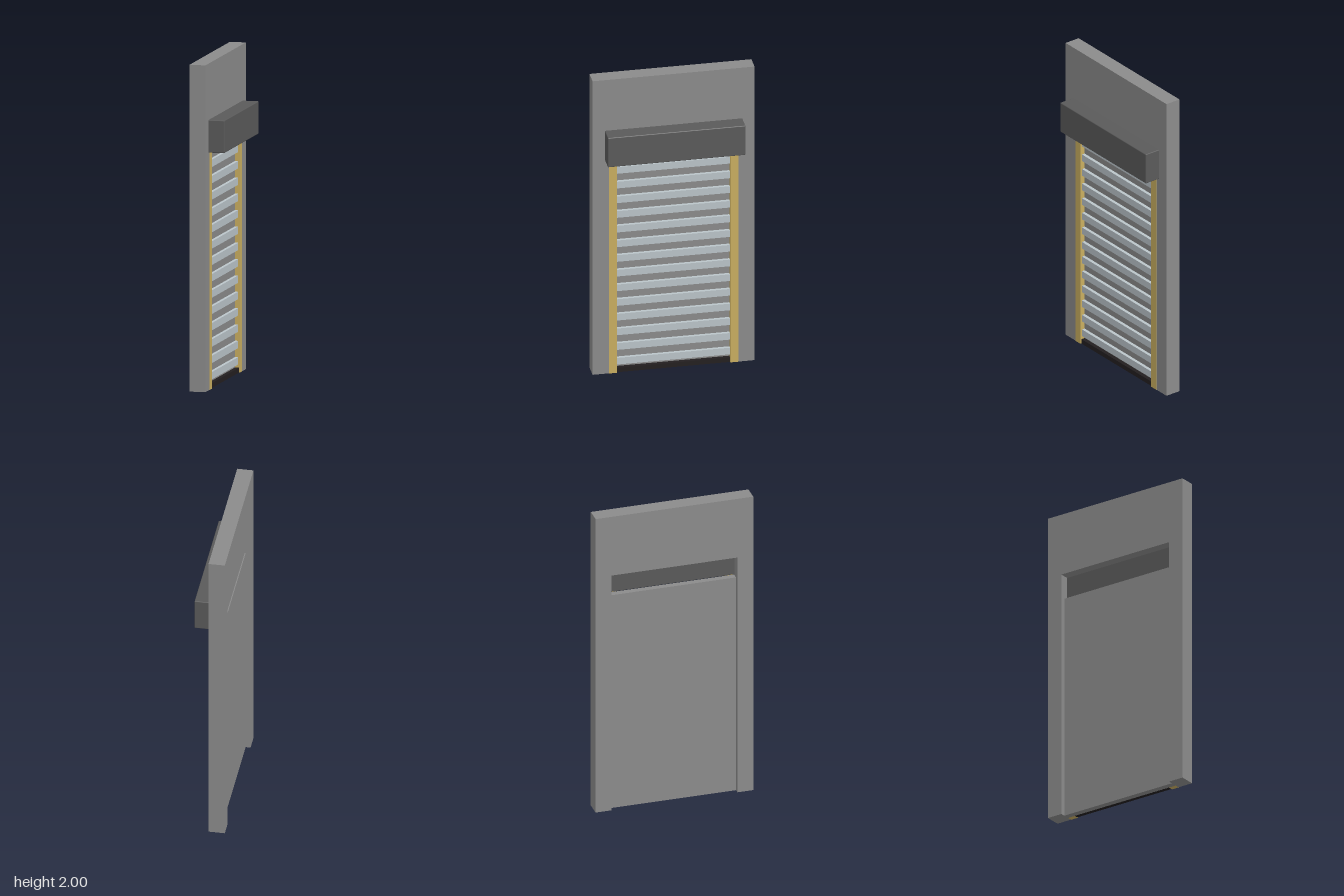
import * as THREE from 'three';
import { RoundedBoxGeometry } from 'three/addons/geometries/RoundedBoxGeometry.js';

export function createModel() {
  const root = new THREE.Group();
  root.name = 'rollerShutterDoor';

  const material = (name, color) => {
    const m = new THREE.MeshStandardMaterial({ color });
    m.name = name;
    return m;
  };
  const concrete = material('concreteGrey', 0x8b8b8b);
  const darkMetal = material('darkGrey', 0x5a5a5a);
  const brass = material('brassYellow', 0xc9ae60);
  const paleMetal = material('paleBlueGrey', 0xbbc5ca);
  const black = material('rubberBlack', 0x231f20);

  const add = (name, geometry, mat) => {
    const mesh = new THREE.Mesh(geometry, mat);
    mesh.name = name;
    root.add(mesh);
    return mesh;
  };
  // Box given by its extents along x, y and z
  const box = (name, mat, [x0, x1], [y0, y1], [z0, z1], radius = 0) => {
    const size = [x1 - x0, y1 - y0, z1 - z0];
    const geometry = radius
      ? new RoundedBoxGeometry(...size, 2, radius)
      : new THREE.BoxGeometry(...size);
    const mesh = add(name, geometry, mat);
    mesh.position.set((x0 + x1) / 2, (y0 + y1) / 2, (z0 + z1) / 2);
    return mesh;
  };

  // Wall slab with a doorway open at the floor
  const outline = new THREE.Shape([
    [-0.5, 0], [-0.4, 0], [-0.4, 1.6], [0.4, 1.6],
    [0.4, 0], [0.5, 0], [0.5, 2], [-0.5, 2],
  ].map(([x, y]) => new THREE.Vector2(x, y)));
  const wall = new THREE.ExtrudeGeometry(outline, { depth: 0.1, bevelEnabled: false });
  wall.rotateY(Math.PI / 2);
  wall.translate(-0.1, 0, 0);
  add('wall', wall, concrete);

  // Shutter curtain with raised slats and a bottom seal
  box('shutterPanel', concrete, [-0.07, -0.03], [0, 1.45], [-0.4, 0.4]);
  for (let i = 0; i < 14; i++) {
    const y = 0.072 + i * 0.1;
    box('slat', paleMetal, [-0.031, -0.01], [y - 0.0225, y + 0.0225], [-0.35, 0.35]);
  }
  box('bottomSeal', black, [-0.031, -0.005], [0, 0.03], [-0.35, 0.35]);

  // Guide rails on both sides
  for (const side of [-1, 1]) {
    const rail = box('guideRail', brass, [-0.03, 0.002], [0, 1.46], [-0.025, 0.025]);
    rail.position.z = side * 0.375;
  }

  // Roller housing above the doorway
  box('rollerHousing', darkMetal, [-0.04, 0.1], [1.455, 1.655], [-0.425, 0.425], 0.005);

  return root;
}
